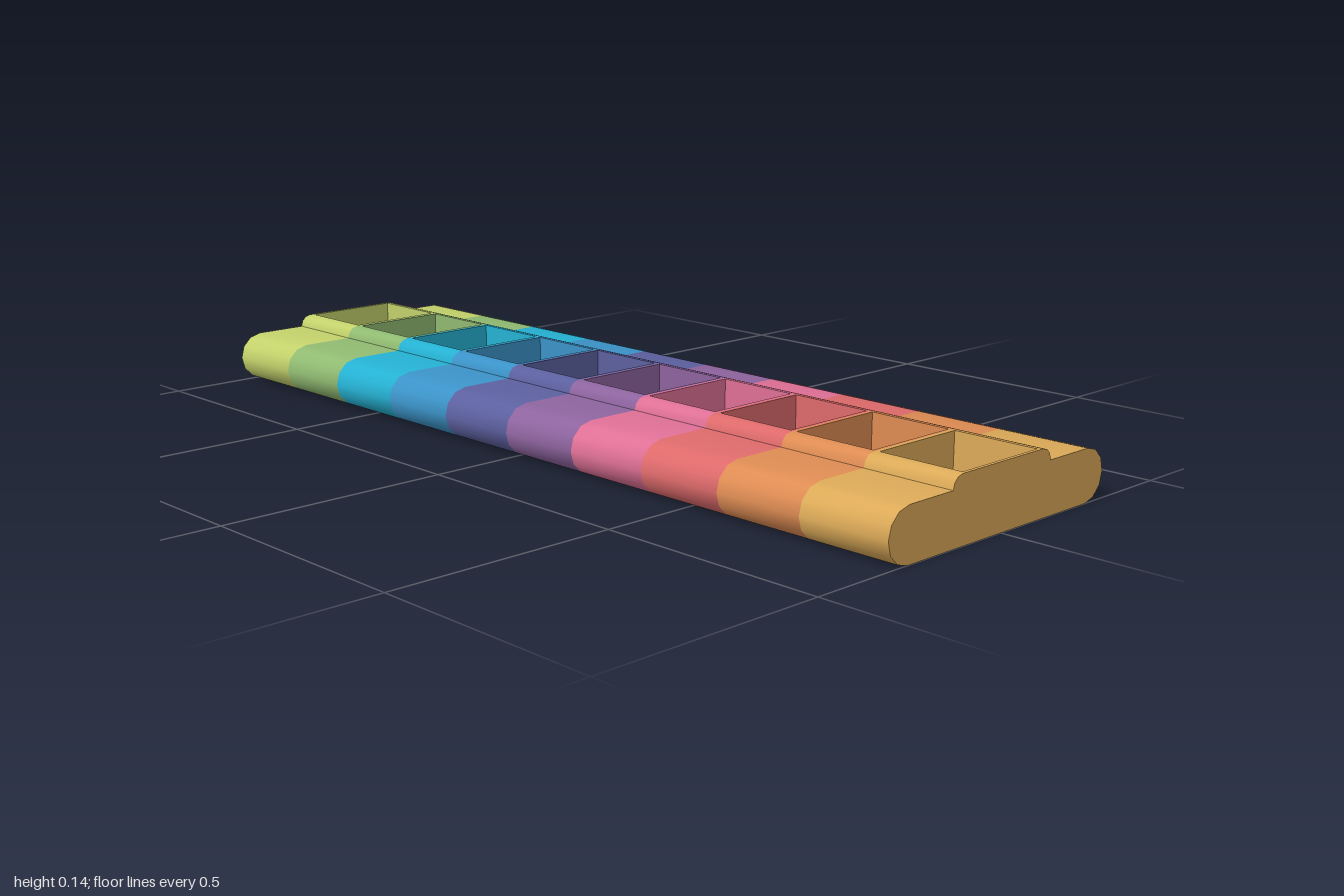
import * as THREE from 'three';
import { toCreasedNormals } from 'three/addons/utils/BufferGeometryUtils.js';

const COLORS = [
  ['amber', 0xdcaa58], ['orange', 0xde8c53], ['coral', 0xde6a6b], ['pink', 0xdf7096],
  ['purple', 0x8e649f], ['indigo', 0x5c609f], ['blue', 0x3b93c8], ['cyan', 0x25b1d3],
  ['green', 0x90ba71], ['lime', 0xc3d16b],
];
const CELL = 0.2;          // length of one compartment along z
const WALL = 0.0075;       // cross wall at each end of a compartment
const POCKET = 0.112;      // half width of the pocket
const FLOOR = 0.015;
const TOP = 0.135;

// Points on an arc, from angle a to angle b
function arc(cx, cy, r, a, b, steps) {
  return Array.from({ length: steps + 1 }, (_, i) => {
    const t = a + (b - a) * i / steps;
    return [cx + r * Math.cos(t), cy + r * Math.sin(t)];
  });
}

// Cross-section: rounded case with a raised rim and an open channel
function bodyShape() {
  const half = [
    ...arc(0.268, 0.0545, 0.0545, -Math.PI / 2, Math.PI / 2, 6),
    ...arc(0.121, 0.109, 0.026, 0, Math.PI / 2, 3),
    [POCKET, TOP], [POCKET, FLOOR],
  ];
  const mirrored = half.map(([x, y]) => [-x, y]).reverse();
  return new THREE.Shape([...half, ...mirrored].map(([x, y]) => new THREE.Vector2(x, y)));
}

export function createModel() {
  const model = new THREE.Group();
  model.name = 'pillOrganizer';

  const body = toCreasedNormals(
    new THREE.ExtrudeGeometry(bodyShape(), { depth: CELL, bevelEnabled: false }), 0.7);
  const wall = new THREE.BoxGeometry(POCKET * 2, TOP - FLOOR, WALL);

  // Ten compartments from front to back
  COLORS.forEach(([name, color], i) => {
    const material = new THREE.MeshStandardMaterial({ color });
    material.name = name;
    const cell = new THREE.Group();
    cell.name = `${name}Compartment`;
    cell.position.z = 1 - (i + 1) * CELL;

    const shell = new THREE.Mesh(body, material);
    shell.name = 'caseSection';
    cell.add(shell);

    // Cross walls closing the channel into a pocket
    for (const [side, z] of [['back', WALL / 2], ['front', CELL - WALL / 2]]) {
      const mesh = new THREE.Mesh(wall, material);
      mesh.name = `${side}Wall`;
      mesh.position.set(0, (TOP + FLOOR) / 2, z);
      cell.add(mesh);
    }
    model.add(cell);
  });
  return model;
}
